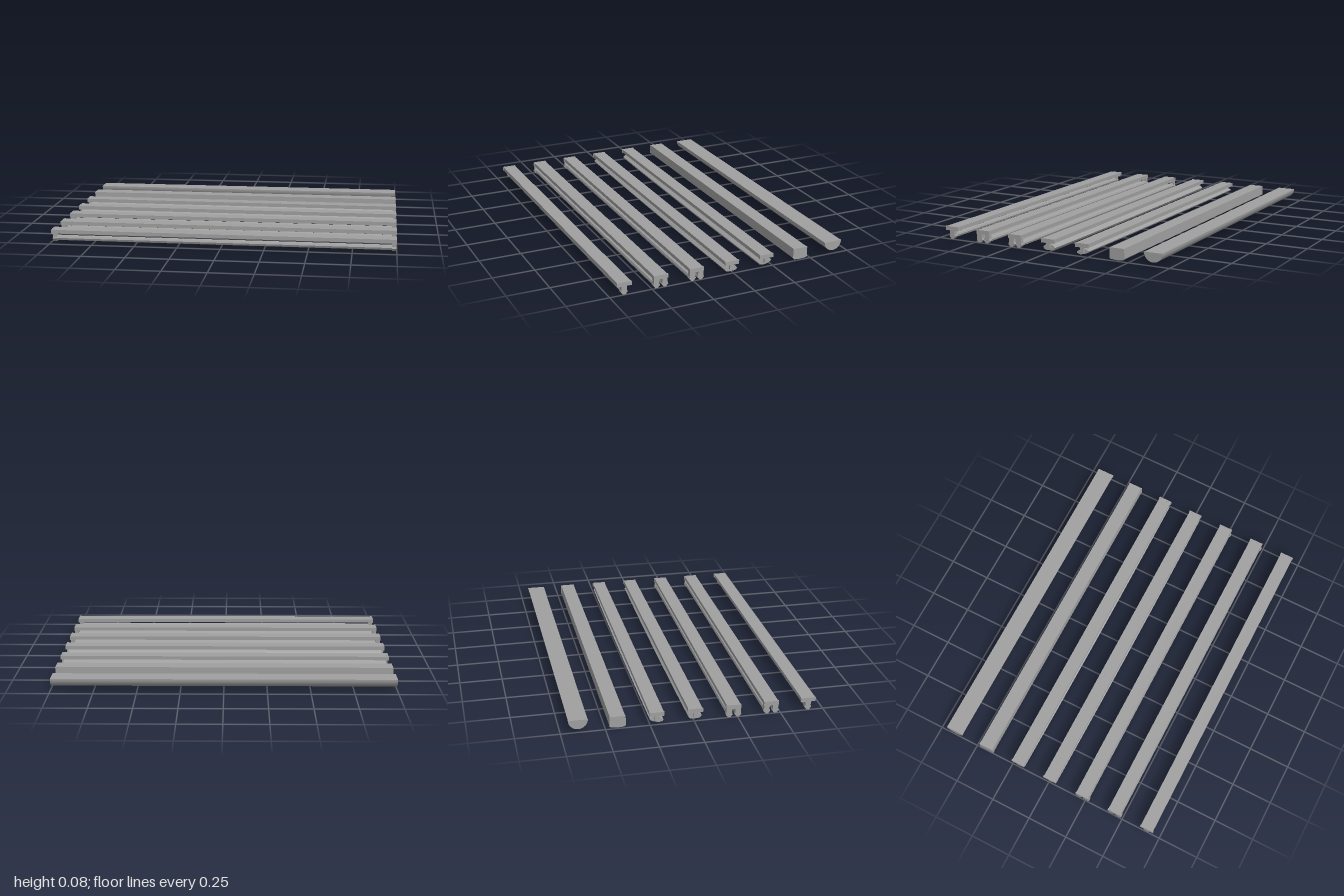
import * as THREE from 'three';

export function createModel() {
  const model = new THREE.Group();
  const grey = new THREE.MeshStandardMaterial({ color: 0xa0a0a0, flatShading: true });
  grey.name = 'fixture grey';
  const smoothGrey = new THREE.MeshStandardMaterial({ color: 0xa0a0a0 });
  smoothGrey.name = 'smooth diffuser grey';

  // Extrudes a [z, y] section along x; taper shrinks it towards the ends about cy
  function prism(parent, name, section, x0, x1, taper = 1, cy = 0) {
    const shape = new THREE.Shape(section.map(([z, y]) => new THREE.Vector2(-z, y)));
    const geo = new THREE.ExtrudeGeometry(shape, {
      depth: x1 - x0, steps: taper === 1 ? 1 : 8, bevelEnabled: false,
    });
    geo.rotateY(Math.PI / 2).translate(x0, 0, 0);
    if (taper !== 1) {
      const p = geo.attributes.position;
      for (let i = 0; i < p.count; i++) {
        const x = p.getX(i);
        const s = 1 - (1 - taper) * x * x;
        p.setZ(i, p.getZ(i) * s);
        p.setY(i, cy + (p.getY(i) - cy) * s);
      }
      geo.computeVertexNormals();
    }
    const mesh = new THREE.Mesh(geo, grey);
    mesh.name = name;
    parent.add(mesh);
    return mesh;
  }
  const rect = (z0, z1, y0, y1) => [[z0, y0], [z1, y0], [z1, y1], [z0, y1]];

  function fixture(name, z) {
    const group = new THREE.Group();
    group.name = name;
    group.position.z = z;
    model.add(group);
    return group;
  }

  // Flat mounting rail with slightly wider end caps
  function rail(parent) {
    prism(parent, 'rail', rect(-0.04, 0.04, 0.055, 0.077), -0.99, 0.99);
    for (const s of [-1, 1]) {
      prism(parent, 'railEndCap', rect(-0.043, 0.043, 0.054, 0.078), s * 0.995 - 0.005, s * 0.995 + 0.005);
    }
  }

  // Tube held by a pointed socket at both ends
  function tube(parent, z) {
    const lamp = new THREE.Mesh(new THREE.CylinderGeometry(0.016, 0.016, 1.96, 8), grey);
    lamp.name = 'tube';
    lamp.rotation.z = Math.PI / 2;
    lamp.position.set(0, 0.023, z);
    parent.add(lamp);
    const socket = [[-0.016, 0.056], [-0.016, 0.03], [-0.02, 0.019], [-0.007, 0.003],
      [0.007, 0.003], [0.02, 0.019], [0.016, 0.03], [0.016, 0.056]].map(([a, b]) => [a + z, b]);
    for (const s of [-1, 1]) prism(parent, 'socket', socket, s * 0.985 - 0.012, s * 0.985 + 0.012);
  }

  // Single and twin tube fixtures
  const single = fixture('singleTubeFixture', 0.663);
  rail(single);
  tube(single, 0);
  for (const [name, z] of [['twinTubeFixture', 0.446], ['secondTwinTubeFixture', 0.228]]) {
    const twin = fixture(name, z);
    rail(twin);
    tube(twin, -0.025);
    tube(twin, 0.025);
  }

  // Fixtures with a wide reflector: one symmetrical, one tilted
  const even = [[-0.044, 0.026], [-0.036, 0.013], [-0.018, 0.008], [0.018, 0.008],
    [0.036, 0.013], [0.044, 0.026], [0.03, 0.039], [0.012, 0.05], [-0.012, 0.05], [-0.03, 0.039]];
  const tilted = [[-0.044, 0.034], [-0.038, 0.024], [-0.01, 0.012], [0.02, 0.008], [0.042, 0.014],
    [0.044, 0.024], [0.025, 0.037], [0.008, 0.051], [-0.008, 0.051], [-0.025, 0.042]];
  for (const [name, z, section] of [['reflectorFixture', 0.008, even], ['tiltedReflectorFixture', -0.211, tilted]]) {
    const group = fixture(name, z);
    rail(group);
    prism(group, 'reflector', section, -0.985, 0.985, 0.88, 0.03);
    for (const s of [-1, 1]) {
      prism(group, 'neck', rect(-0.012, 0.012, 0.025, 0.056), s * 0.985 - 0.012, s * 0.985 + 0.012);
    }
  }

  // Box-shaped diffuser
  const box = fixture('boxFixture', -0.432);
  const boxSection = [[-0.043, 0.077], [-0.045, 0.02], [-0.036, 0.012], [0, 0.009],
    [0.036, 0.012], [0.045, 0.02], [0.043, 0.077]];
  prism(box, 'diffuser', boxSection, -0.99, 0.99);
  for (const s of [-1, 1]) {
    prism(box, 'boxEndCap', boxSection.map(([a, b]) => [a * 1.04, b]), s * 0.994 - 0.006, s * 0.994 + 0.006);
  }

  // Half-round diffuser with a flat lid and end caps
  const round = fixture('halfRoundFixture', -0.651);
  const shell = new THREE.Mesh(
    new THREE.CylinderGeometry(0.053, 0.053, 1.98, 24, 1, true, Math.PI, Math.PI), smoothGrey);
  shell.name = 'halfRoundDiffuser';
  shell.rotation.z = Math.PI / 2;
  shell.rotation.order = 'ZYX';
  // Cylinder axis turned to x, open half facing up
  shell.geometry.rotateZ(Math.PI / 2);
  shell.rotation.set(0, 0, 0);
  const low = shell.geometry.boundingBox || (shell.geometry.computeBoundingBox(), shell.geometry.boundingBox);
  if (low.max.y > 0.01) shell.geometry.rotateX(Math.PI);
  shell.position.y = 0.075;
  round.add(shell);
  prism(round, 'lid', rect(-0.054, 0.054, 0.074, 0.077), -0.99, 0.99);
  const half = [];
  for (let i = 0; i <= 16; i++) {
    const a = Math.PI * (1 + i / 16);
    half.push([Math.cos(a) * 0.055, 0.077 + Math.sin(a) * 0.055]);
  }
  for (const s of [-1, 1]) prism(round, 'halfRoundEndCap', half, s * 0.992 - 0.006, s * 0.992 + 0.006);

  return model;
}
